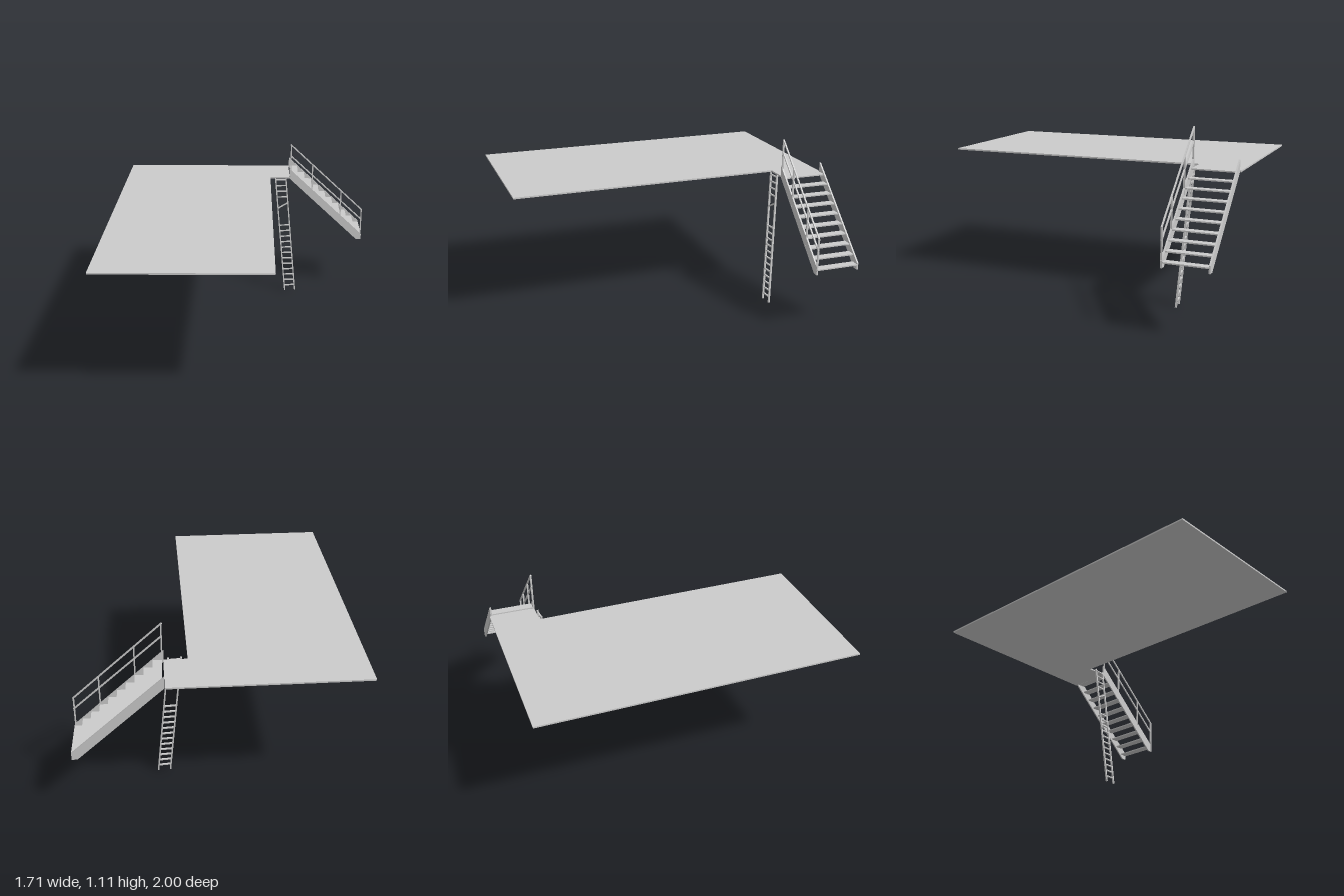
import * as THREE from 'three';

const material = new THREE.MeshStandardMaterial({ color: 0xcccccc, flatShading: true });

function addMesh(parent, name, geometry) {
  const mesh = new THREE.Mesh(geometry, material);
  mesh.name = name;
  parent.add(mesh);
  return mesh;
}

function addBox(parent, name, size, position) {
  const mesh = addMesh(parent, name, new THREE.BoxGeometry(...size));
  mesh.position.set(...position);
  return mesh;
}

// Rectangular bar between two points: width lies roughly along x, depth along z
function addBar(parent, name, from, to, width, depth) {
  const a = new THREE.Vector3(...from);
  const b = new THREE.Vector3(...to);
  const mesh = addMesh(parent, name, new THREE.BoxGeometry(width, a.distanceTo(b), depth));
  mesh.position.copy(a).add(b).multiplyScalar(0.5);
  mesh.quaternion.setFromUnitVectors(new THREE.Vector3(0, 1, 0), b.sub(a).normalize());
  return mesh;
}

function extrude(points, depth) {
  const shape = new THREE.Shape(points.map(([x, y]) => new THREE.Vector2(x, y)));
  return new THREE.ExtrudeGeometry(shape, { depth, bevelEnabled: false });
}

// L-shaped deck, drawn in plan and laid flat
function createPlatform() {
  const outline = [[-0.86, -1], [0.17, -1], [0.17, 0.71], [0.31, 0.71], [0.31, 1], [-0.86, 1]];
  const geometry = extrude(outline, 0.01).rotateX(-Math.PI / 2).translate(0, 0.852, 0);
  const mesh = new THREE.Mesh(geometry, material);
  mesh.name = 'platform';
  return mesh;
}

// Open stair, turned slightly about its top end; local x and z start at the pivot
function createStairs() {
  const stairs = new THREE.Group();
  stairs.name = 'stairs';
  stairs.position.set(0.31, 0, -0.851);
  stairs.rotation.y = -0.021;
  const halfWidth = 0.138;

  const profile = [[0, 0.854], [0.505, 0.385], [0.538, 0.385], [0.538, 0.43], [0, 0.927]];
  for (const [name, side] of [['leftStringer', 1], ['rightStringer', -1]]) {
    addMesh(stairs, name, extrude(profile, 0.01)).position.z = side * halfWidth - 0.005;
  }
  for (let i = 0; i < 10; i++) {
    addBox(stairs, 'tread', [0.053, 0.008, halfWidth * 2],
      [0.037 + i * 0.053, 0.862 - i * 0.0494, 0]);
  }

  // Handrail on the front side only
  const handrail = new THREE.Group();
  handrail.name = 'handrail';
  handrail.position.z = halfWidth;
  stairs.add(handrail);
  const posts = [[0.011, 0.855, 1.102], [0.168, 0.703, 0.952], [0.379, 0.503, 0.756], [0.533, 0.388, 0.616]];
  for (const [x, bottom, top] of posts) {
    addBar(handrail, 'post', [x, bottom, 0], [x, top, 0], 0.008, 0.011);
  }
  addBar(handrail, 'topRail', [0.007, 1.104, 0], [0.537, 0.615, 0], 0.008, 0.009);
  addBar(handrail, 'middleRail', [0.007, 1.023, 0], [0.537, 0.54, 0], 0.008, 0.009);
  return stairs;
}

// Leaning ladder with three missing rungs and one that hangs crooked
function createLadder() {
  const ladder = new THREE.Group();
  ladder.name = 'ladder';
  const height = 0.86;
  const railPoint = (side, y) => {
    const t = y / height;
    return [0.285 - 0.078 * t + side * 0.075, y, -0.629 - 0.06 * t - side * 0.006];
  };
  for (const side of [0, 1]) {
    addBar(ladder, 'ladderRail', railPoint(side, 0), railPoint(side, height), 0.009, 0.012);
  }
  const missing = [12, 13, 14, 15];
  for (let i = 0; i < 20; i++) {
    if (missing.includes(i)) continue;
    const y = 0.04 + i * 0.0425;
    addBar(ladder, 'rung', railPoint(0, y), railPoint(1, y), 0.008, 0.01);
  }
  addBar(ladder, 'crookedRung', railPoint(0, 0.636), railPoint(1, 0.676), 0.008, 0.01);
  return ladder;
}

export function createModel() {
  const model = new THREE.Group();
  model.name = 'platformWithStairsAndLadder';
  model.add(createPlatform(), createStairs(), createLadder());
  return model;
}
